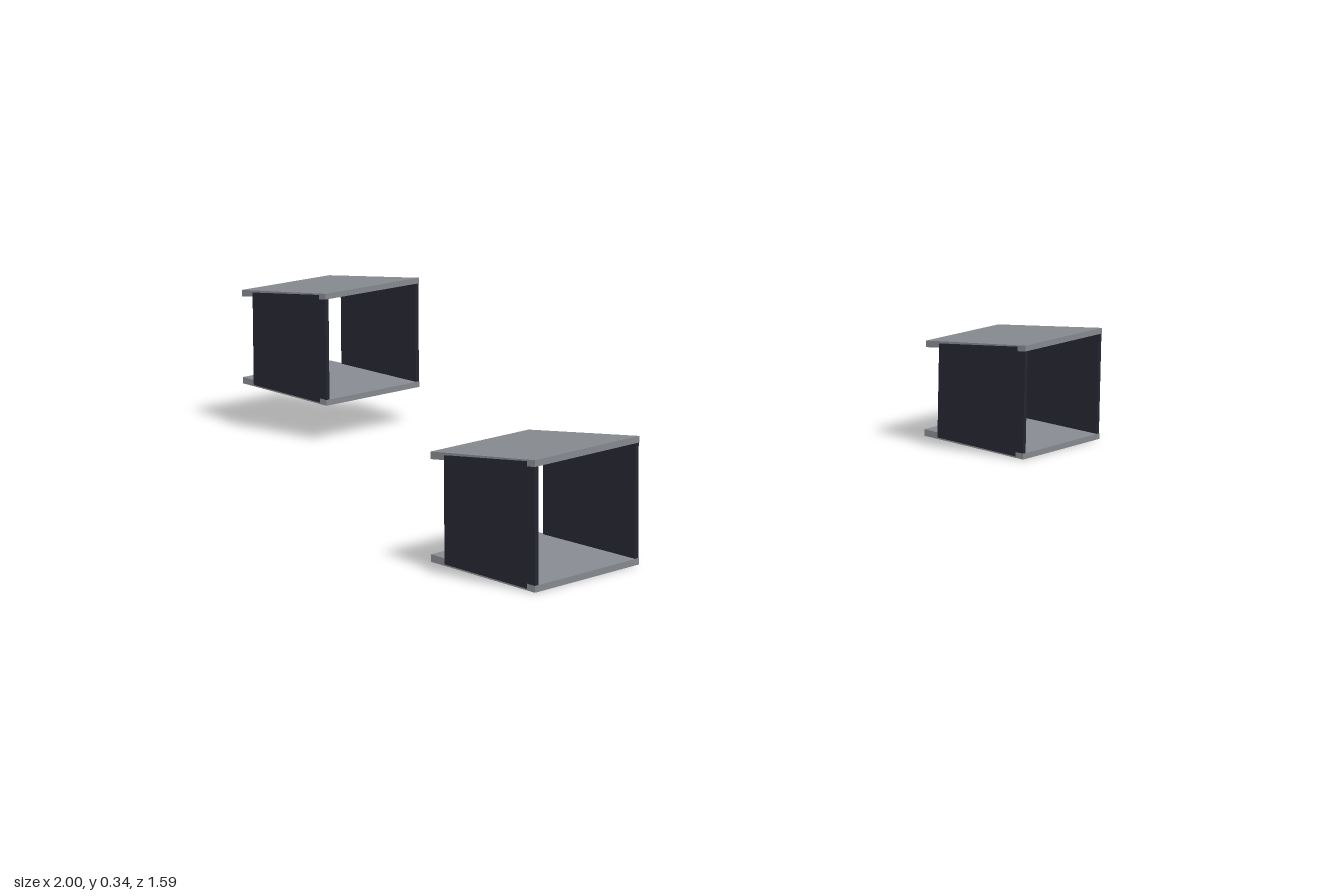
import * as THREE from 'three';

// Six-sided block given by a front and a back rectangle: [x0, x1, y0, y1, z]
function taperedBlock(front, back) {
  const g = new THREE.BoxGeometry(1, 1, 1);
  const p = g.attributes.position;
  for (let i = 0; i < p.count; i++) {
    const r = p.getZ(i) > 0 ? front : back;
    p.setXYZ(i, p.getX(i) < 0 ? r[0] : r[1], p.getY(i) < 0 ? r[2] : r[3], r[4]);
  }
  const flat = g.toNonIndexed();
  flat.computeVertexNormals();
  return flat;
}

export function createModel() {
  const model = new THREE.Group();
  const plateMat = new THREE.MeshStandardMaterial({ color: 0x86898f });
  plateMat.name = 'grey plate';
  const sideMat = new THREE.MeshStandardMaterial({ color: 0x252530 });
  sideMat.name = 'dark side panel';

  // Open sleeve, narrowing to the back; y = 0 is its mid height, z = 0 its front edge
  const topPlate = taperedBlock(
    [-0.158, 0.158, 0.115, 0.128, 0],
    [-0.147, 0.147, 0.094, 0.109, -0.272]);
  const bottomPlate = taperedBlock(
    [-0.158, 0.158, -0.128, -0.115, 0],
    [-0.147, 0.147, -0.109, -0.094, -0.272]);
  const leftPanel = taperedBlock(
    [0.147, 0.1575, -0.125, 0.125, -0.001],
    [0.143, 0.1535, -0.107, 0.107, -0.232]);
  const rightPanel = taperedBlock(
    [-0.1575, -0.147, -0.125, 0.125, -0.001],
    [-0.1535, -0.143, -0.107, 0.107, -0.232]);

  const parts = [
    ['topPlate', topPlate, plateMat],
    ['bottomPlate', bottomPlate, plateMat],
    ['leftPanel', leftPanel, sideMat],
    ['rightPanel', rightPanel, sideMat],
  ];

  // Two low sleeves in front, one raised behind
  const sleeves = [
    ['leftSleeve', 0.842, 0.128, 0.796],
    ['rightSleeve', -0.842, 0.128, 0.796],
    ['rearSleeve', 0, 0.213, -0.524],
  ];
  for (const [name, x, y, z] of sleeves) {
    const sleeve = new THREE.Group();
    sleeve.name = name;
    sleeve.position.set(x, y, z);
    for (const [partName, geometry, material] of parts) {
      const mesh = new THREE.Mesh(geometry, material);
      mesh.name = partName;
      sleeve.add(mesh);
    }
    model.add(sleeve);
  }
  return model;
}
